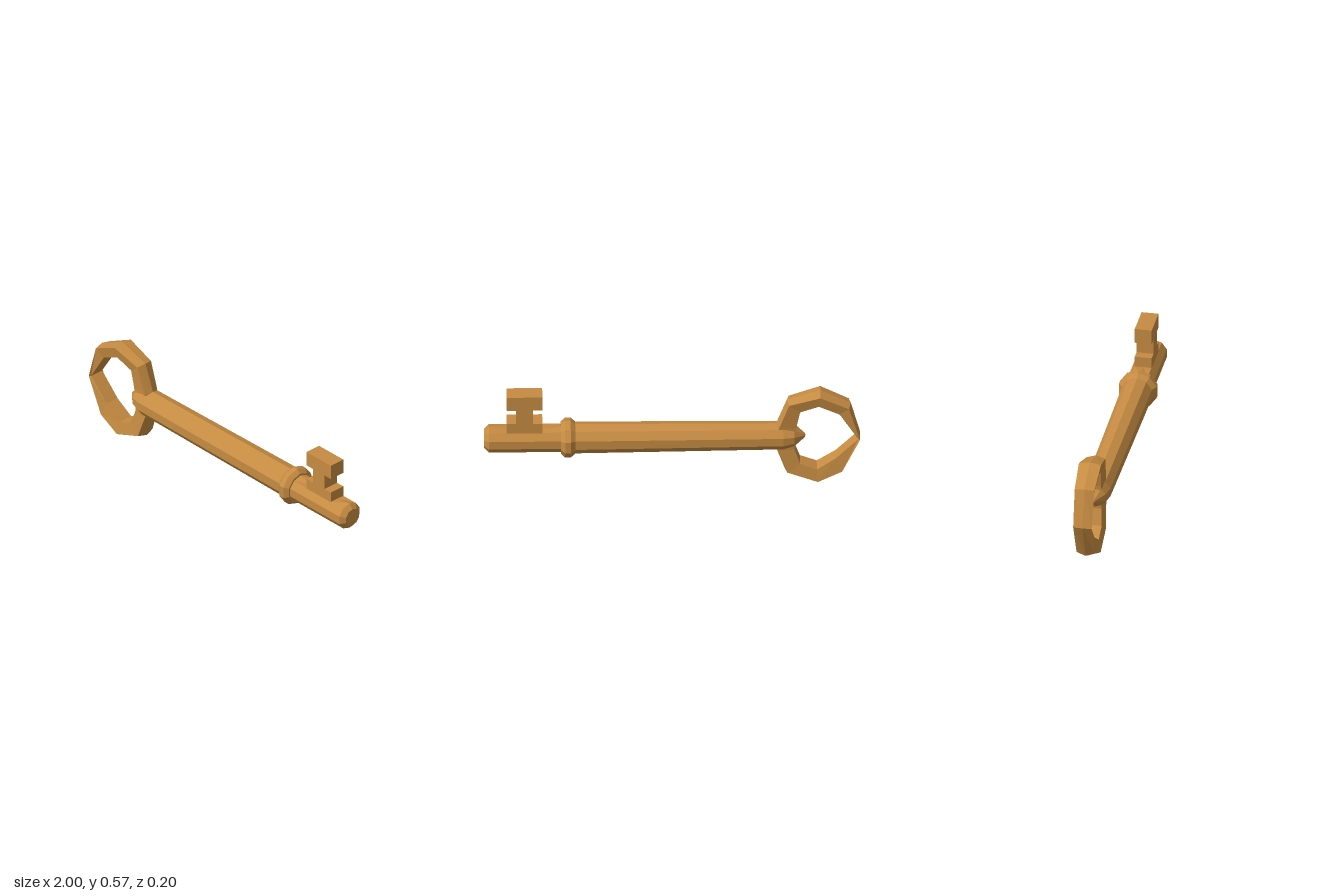
import * as THREE from 'three';

const AXIS = 0.28; // height of the shaft's centre line

export function createModel() {
  const key = new THREE.Group();
  key.name = 'key';
  const material = new THREE.MeshStandardMaterial({ color: 0xc68c42, flatShading: true });

  const add = (name, geometry, x = 0, y = 0, z = 0) => {
    const mesh = new THREE.Mesh(geometry, material);
    mesh.name = name;
    mesh.position.set(x, y, z);
    key.add(mesh);
    return mesh;
  };

  // Ten-sided turned part lying along x, from [x, radius] pairs
  const turned = (profile) => {
    const points = profile.map(([x, r]) => new THREE.Vector2(r, x));
    const geometry = new THREE.LatheGeometry(points, 10, Math.PI / 2);
    return geometry.rotateZ(-Math.PI / 2).translate(0, AXIS, 0);
  };

  // Shaft with a pointed end inside the bow
  add('shaft', turned([
    [-0.71, 0], [-0.705, 0.012], [-0.65, 0.06], [-0.59, 0.076], [0.53, 0.085], [0.53, 0],
  ]));

  // Collar
  add('collar', turned([
    [0.515, 0], [0.515, 0.086], [0.54, 0.107], [0.57, 0.107], [0.592, 0.086], [0.592, 0],
  ]));

  // Tip, its top ridge flattened under the bit
  const tip = turned([
    [0.58, 0], [0.58, 0.076], [0.69, 0.076], [0.88, 0.076], [0.975, 0.076], [1, 0.051], [1, 0],
  ]);
  const p = tip.attributes.position;
  for (let i = 0; i < p.count; i++) {
    const underBit = p.getX(i) > 0.65 && p.getX(i) < 0.9;
    if (underBit && p.getY(i) > AXIS + 0.07) p.setY(i, AXIS + 0.0615);
  }
  add('tip', tip);

  // Bit: base, stem and head as one I-shaped plate
  const half = [[0.095, 0.32], [0.095, 0.4], [0.045, 0.4], [0.045, 0.485], [0.095, 0.485], [0.095, 0.568]];
  const outline = [...half, ...half.map(([x, y]) => [-x, y]).reverse()];
  const bitShape = new THREE.Shape(outline.map(([x, y]) => new THREE.Vector2(x, y)));
  add('bit', new THREE.ExtrudeGeometry(bitShape, { depth: 0.092, bevelEnabled: false }), 0.785, 0, -0.046);

  // Bow: [outer x, outer y, inner x, inner y, half thickness] per section
  const sections = [
    [-0.55, 0.35, -0.66, 0.35, 0.045],
    [-0.61, 0.508, -0.68, 0.45, 0.05],
    [-0.79, 0.563, -0.78, 0.49, 0.06],
    [-0.95, 0.483, -0.89, 0.435, 0.053],
    [-1, 0.275, -0.99, 0.275, 0.05],
    [-0.91, 0.06, -0.87, 0.155, 0.05],
    [-0.775, 0, -0.77, 0.087, 0.055],
    [-0.6, 0.065, -0.68, 0.123, 0.053],
    [-0.55, 0.21, -0.65, 0.21, 0.045],
  ];
  const vertices = [];
  for (const [ox, oy, ix, iy, t] of sections) {
    // Shoulders sit a little inside the outer ridge
    const sx = ox + (ix - ox) * 0.16, sy = oy + (iy - oy) * 0.16;
    vertices.push(ox, oy, 0, sx, sy, t, ix, iy, t * 0.8, ix, iy, -t * 0.8, sx, sy, -t);
  }
  const index = [];
  const n = sections.length, sides = 5;
  for (let i = 0; i < n; i++) {
    for (let j = 0; j < sides; j++) {
      const next = ((i + 1) % n) * sides, k = (j + 1) % sides;
      const a = i * sides + j, b = next + j, c = next + k, d = i * sides + k;
      index.push(a, b, c, a, c, d);
    }
  }
  const bow = new THREE.BufferGeometry();
  bow.setAttribute('position', new THREE.Float32BufferAttribute(vertices, 3));
  bow.setIndex(index);
  bow.computeVertexNormals();
  add('bow', bow);

  return key;
}
